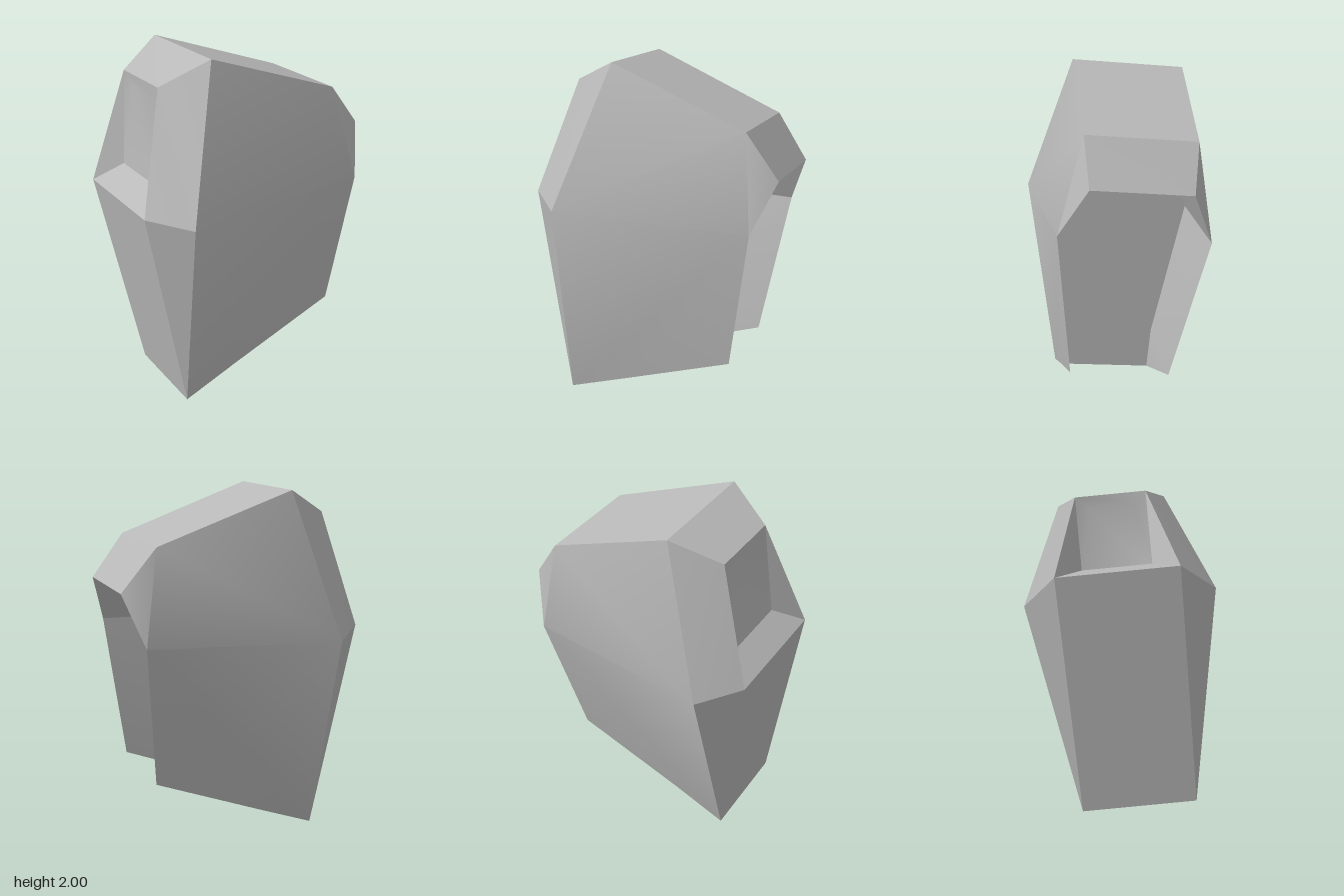
import * as THREE from 'three';
import { toCreasedNormals } from 'three/addons/utils/BufferGeometryUtils.js';

// Profile points: x, y, half-width in z (the body is mirrored across a slightly tilted mid plane)
const P = {
  crown: [-0.25, 1.975, 0.315],
  brow: [0.5, 1.685, 0.295],
  lip: [0.68, 1.445, 0.265],
  cheek: [0.58, 1.175, 0.4],
  jaw: [0.47, 0.378, 0.27],
  sole: [-0.17, 0.14, 0.265],
  heel: [-0.5, 0.024, 0.275],
  flank: [-0.5, 1.18, 0.515],
  peak: [-0.5, 1.85, 0.2],
  spur: [-0.69, 1.225, 0.33],
  // inner corners of the deep opening
  deepTop: [-0.17, 1.445, 0.265],
  deepMid: [-0.17, 1.175, 0.4],
  deepLow: [-0.17, 0.378, 0.27],
  // inner corners of the shallow niche
  nicheTop: [-0.49, 1.775, 0.12],
  nicheLow: [-0.555, 1.335, 0.19],
};

const TILT = 0.085;

function corner(name, side) {
  const [x, y, w] = P[name];
  return [x, y + TILT * w * side, TILT * (1.18 - y) + w * side];
}

// strips: clockwise profile runs spanning the full width; sides: fans mirrored on both sides
function buildPart(name, material, strips, sides) {
  const pos = [];
  const fan = (pts) => {
    for (let i = 1; i < pts.length - 1; i++) pos.push(...pts[0], ...pts[i], ...pts[i + 1]);
  };
  for (const run of strips) {
    for (let i = 0; i < run.length - 1; i++) {
      const [a, b] = [run[i], run[i + 1]];
      fan([corner(a, 1), corner(b, 1), corner(b, -1), corner(a, -1)]);
    }
  }
  for (const face of sides) {
    fan(face.map((n) => corner(n, 1)));
    const [first, ...rest] = face;
    fan([first, ...rest.reverse()].map((n) => corner(n, -1)));
  }
  const geometry = new THREE.BufferGeometry();
  geometry.setAttribute('position', new THREE.Float32BufferAttribute(pos, 3));
  const mesh = new THREE.Mesh(toCreasedNormals(geometry, 0.45), material);
  mesh.name = name;
  return mesh;
}

export function createModel() {
  const group = new THREE.Group();
  group.name = 'facetedShell';
  const grey = new THREE.MeshStandardMaterial({ color: 0xb8b8b8 });
  grey.name = 'plainGrey';

  // Outer shell: roof, underside, rear face and both side plates
  group.add(buildPart('outerShell', grey,
    [['peak', 'crown', 'brow', 'lip'], ['sole', 'heel', 'spur']],
    [
      ['flank', 'heel', 'cheek'],
      ['cheek', 'heel', 'sole'],
      ['cheek', 'sole', 'jaw'],
      ['flank', 'cheek', 'brow'],
      ['flank', 'brow', 'crown'],
      ['cheek', 'lip', 'brow'],
      ['flank', 'crown', 'peak'],
      ['flank', 'peak', 'spur'],
      ['flank', 'spur', 'heel'],
    ]));

  // Deep opening on the +x side
  group.add(buildPart('deepOpening', grey,
    [['lip', 'deepTop', 'deepMid', 'deepLow', 'sole']],
    [
      ['lip', 'cheek', 'deepMid', 'deepTop'],
      ['cheek', 'jaw', 'deepLow', 'deepMid'],
      ['jaw', 'sole', 'deepLow'],
    ]));

  // Shallow niche on the -x side
  group.add(buildPart('shallowNiche', grey,
    [['spur', 'nicheLow', 'nicheTop', 'peak']],
    [['peak', 'nicheTop', 'nicheLow', 'spur']]));

  return group;
}
